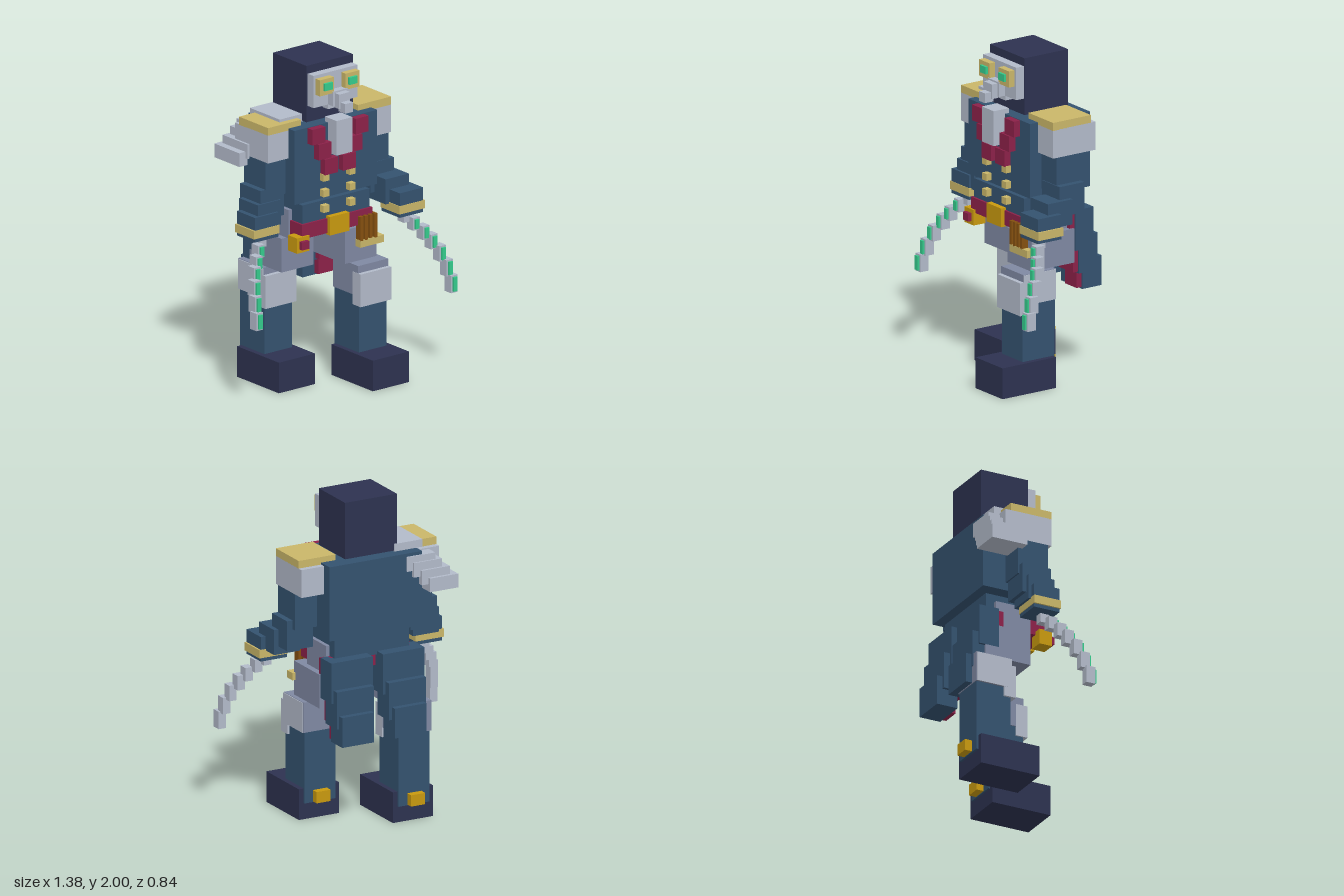
import * as THREE from 'three';

const mat = (name, color) => Object.assign(new THREE.MeshStandardMaterial({ color }), { name });

export function createModel() {
  const navy = mat('dark navy', 0x2d3250), blue = mat('coat blue', 0x34526f);
  const light = mat('pale steel', 0xb2bac9), lilac = mat('grey lilac', 0x7f88a2);
  const crimson = mat('crimson', 0x8c2149), pale = mat('pale gold', 0xc9b669);
  const gold = mat('gold', 0xc8990f), green = mat('glowing green', 0x35cb8c);
  const brown = mat('brown', 0x85500f);

  const model = new THREE.Group();
  const CX = -0.015; // body centre line

  // box from its limits on each axis
  const box = (name, m, x0, x1, y0, y1, z0, z1) => {
    const mesh = new THREE.Mesh(new THREE.BoxGeometry(x1 - x0, y1 - y0, z1 - z0), m);
    mesh.position.set((x0 + x1) / 2, (y0 + y1) / 2, (z0 + z1) / 2);
    mesh.name = name;
    model.add(mesh);
  };
  // box on one side of the body: s = 1 is its left, -1 its right
  const side = (s, name, m, x0, x1, ...rest) => s > 0
    ? box('left ' + name, m, x0, x1, ...rest)
    : box('right ' + name, m, 2 * CX - x1, 2 * CX - x0, ...rest);
  const pair = (...a) => { side(1, ...a); side(-1, ...a); };

  // head and mask
  box('hood', navy, -0.19, 0.16, 1.65, 2, -0.255, 0.06);
  box('mask', light, -0.18, 0.153, 1.75, 1.95, 0.06, 0.115);
  box('chin', light, -0.07, 0.042, 1.72, 1.76, 0.06, 0.113);
  pair('eye rim', pale, 0.03, 0.135, 1.83, 1.93, 0.115, 0.155);
  pair('eye', green, 0.048, 0.108, 1.86, 1.905, 0.15, 0.17);
  box('beak base', light, -0.07, 0.042, 1.75, 1.84, 0.115, 0.16);
  box('beak middle', light, -0.056, 0.027, 1.74, 1.83, 0.155, 0.2);
  box('beak tip', light, -0.045, 0.015, 1.72, 1.78, 0.18, 0.243);

  // torso, waist and belt
  box('coat body', blue, -0.327, 0.298, 1.18, 1.64, -0.315, 0.118);
  box('waist', blue, -0.267, 0.238, 1.03, 1.165, -0.265, 0.118);
  box('hips', lilac, -0.292, 0.262, 0.94, 1.115, -0.21, 0.02);
  box('belt', crimson, -0.28, 0.25, 0.96, 1.05, -0.25, 0.132);
  box('buckle', gold, -0.09, 0.057, 0.95, 1.065, 0.12, 0.155);
  box('cravat', light, -0.075, 0.045, 1.455, 1.67, 0.09, 0.2);
  for (let i = 0; i < 3; i++) {
    const x = 0.1 - i * 0.0475, y = 1.54 - i * 0.1025;
    pair('lapel', crimson, x, x + 0.097, y, y + 0.097, 0.118, 0.163);
    pair('button', pale, 0.062, 0.106, 1.1 + i * 0.097, 1.143 + i * 0.097, 0.115, 0.155);
  }

  // hip pouch and tool holder
  box('pouch', gold, -0.33, -0.235, 0.885, 0.98, 0.06, 0.145);
  box('pouch flap', crimson, -0.31, -0.256, 0.908, 0.957, 0.14, 0.17);
  box('tool holder', pale, 0.14, 0.32, 0.825, 0.87, 0.09, 0.155);
  for (let i = 0; i < 4; i++) {
    const x = 0.142 + i * 0.035;
    box('tool', brown, x, x + 0.022, 0.865, 1.015, 0.112, 0.155);
  }

  // coat tails with linings
  const tails = [
    [0.02, 0.3, 0.8, 1.05, -0.21, -0.34],
    [0.035, 0.285, 0.65, 0.88, -0.245, -0.38],
    [0.055, 0.27, 0.545, 0.73, -0.28, -0.417],
  ];
  tails.forEach(([x0, x1, y0, y1, front, back]) => {
    pair('coat tail', blue, x0, x1, y0, y1, back, front);
    pair('tail lining', crimson, x0 + 0.09, x1 - 0.01, y0 + 0.01, y1 - 0.01, front, front + 0.035);
  });

  // shoulders
  pair('shoulder guard', light, 0.2, 0.45, 1.455, 1.628, -0.248, 0.06);
  pair('epaulette', pale, 0.2, 0.45, 1.625, 1.675, -0.213, 0.06);

  // layered mantle behind the right shoulder
  box('mantle top', light, -0.36, -0.17, 1.645, 1.692, -0.26, 0.02);
  const mantle = [
    [-0.41, 1.53, 1.62, -0.325],
    [-0.45, 1.49, 1.58, -0.335],
    [-0.495, 1.44, 1.53, -0.35],
    [-0.54, 1.395, 1.48, -0.37],
  ];
  mantle.forEach(([x, y0, y1, z]) => box('mantle layer', light, x, x + 0.19, y0, y1, z, z + 0.235));

  // arms: the left reaches forward, the right hangs
  for (const s of [1, -1]) {
    const pick = (a, b) => (s > 0 ? a : b);
    side(s, 'upper arm', blue, 0.25, 0.449, 1.23, 1.47, -0.165, 0.035);
    side(s, 'elbow', blue, 0.31, 0.487, 1.1, 1.285, ...pick([-0.14, 0.04], [-0.155, 0.035]));
    side(s, 'forearm', blue, 0.34, 0.515, 1.05, 1.205, ...pick([-0.035, 0.145], [-0.13, 0.045]));
    side(s, 'hand', blue, 0.37, 0.547, 0.985, 1.137, ...pick([0.068, 0.24], [-0.11, 0.06]));
    side(s, 'cuff', pale, 0.365, 0.558, 1.007, 1.058, ...pick([0.064, 0.243], [-0.114, 0.064]));

    // chain of whip segments with glowing fronts
    const chain = [
      [0.46, 0.965, 0.17], [0.5, 0.92, 0.205], [0.545, 0.865, 0.24], [0.582, 0.81, 0.27],
      [0.615, 0.74, 0.31], [0.637, 0.655, 0.347], [0.65, 0.56, 0.375],
    ];
    chain.forEach(([x, y, z], i) => {
      const h = 0.036 + i * 0.003, zz = z + pick(0, -0.175);
      side(s, 'whip segment', light, x - 0.025, x + 0.025, y - h, y + h, zz - 0.03, zz + 0.03);
      if (i > 0) side(s, 'whip glow', green, x - 0.014, x + 0.014, y - h + 0.01, y + h - 0.01, zz + 0.03, zz + 0.043);
    });
  }

  // legs: the left one steps forward
  for (const s of [1, -1]) {
    const dz = s > 0 ? 0 : -0.325;
    side(s, 'thigh', lilac, 0.06, 0.3, 0.73, 0.94, ...(s > 0 ? [-0.2, 0.11] : [-0.3, 0.0]));
    side(s, 'knee', lilac, 0.1, 0.325, 0.54, 0.728, dz - 0.05, dz + 0.185);
    side(s, 'knee side plate', light, 0.325, 0.33, 0.54, 0.725, dz - 0.046, dz + 0.185);
    side(s, 'knee plate', light, 0.097, 0.329, 0.48, 0.683, dz + 0.135, dz + 0.212);
    side(s, 'shin', blue, 0.106, 0.315, 0.1, 0.6, dz - 0.046, dz + 0.184);
    side(s, 'boot', navy, 0.076, 0.348, 0, 0.19, ...(s > 0 ? [-0.035, 0.353] : [-0.356, 0.035]));
    side(s, 'heel spur', gold, 0.165, 0.26, 0.105, 0.175, dz - 0.092, dz - 0.04);
  }

  return model;
}
